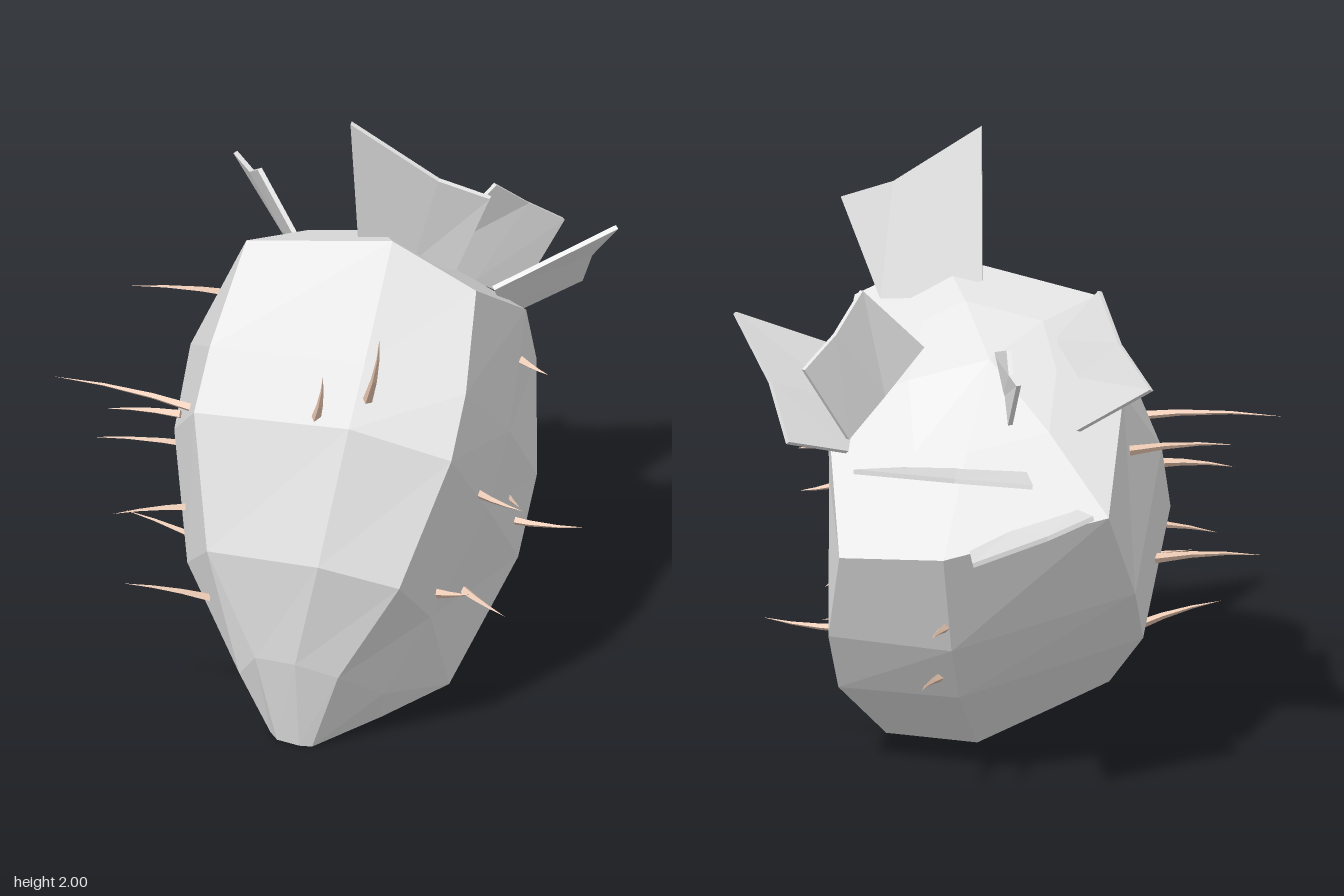
import * as THREE from 'three';

const V = (p) => new THREE.Vector3(...p);

// Faceted root: eight lengthwise columns, listed from crown rim to flat tip;
// shorter columns end early and repeat their last point
const columns = [
  [[-.26, 1.48, .24], [-.27, 1.23, .51], [-.26, 1.07, .66], [-.16, .66, .79], [0, .31, .78], [.05, 0, .72]],
  [[.24, 1.58, .24], [.29, 1.32, .58], [.30, 1.16, .73], [.25, .72, .86], [.15, .33, .81], [.13, 0, .73]],
  [[.51, 1.44, .20], [.59, 1.22, .47], [.60, 1.05, .61], [.49, .65, .77], [.28, .29, .77], [.17, 0, .72]],
  [[.51, 1.18, -.2], [.56, .88, .05], [.55, .67, .2], [.46, .39, .45], [.34, .14, .55], [.29, 0, .45]],
  [[.40, .82, -.54], [.47, .5, -.38], [.47, .28, -.23], [.40, 0, .16]],
  [[.05, .86, -.61], [.06, .5, -.44], [.07, .29, -.28], [.1, 0, .13]],
  [[-.44, .97, -.41], [-.48, .65, -.2], [-.46, .43, .01], [-.31, .21, .2], [-.17, .08, .42], [-.06, 0, .5]],
  [[-.41, 1.26, -.05], [-.49, 1.02, .15], [-.49, .78, .28], [-.33, .47, .55], [-.07, .22, .74], [.01, 0, .68]],
];
const crownTop = [0, 1.38, -.15];

function rootGeometry() {
  const n = columns.length, rings = 7, pos = [], idx = [];
  columns.forEach((c) => {
    // Inner ring that domes the crown
    const inner = V(c[0]).lerp(V(crownTop), .5);
    pos.push(inner.x, inner.y + .02, inner.z);
    for (let r = 0; r < rings - 1; r++) pos.push(...c[Math.min(r, c.length - 1)]);
  });
  pos.push(...crownTop, .17, 0, .45);
  const crown = n * rings, tip = crown + 1;
  for (let i = 0; i < n; i++) {
    const a = i * rings, b = ((i + 1) % n) * rings;
    for (let r = 0; r < rings - 1; r++) {
      idx.push(a + r + 1, b + r + 1, b + r, a + r + 1, b + r, a + r);
    }
    idx.push(crown, a, b, tip, b + rings - 1, a + rings - 1);
  }
  const g = new THREE.BufferGeometry();
  g.setAttribute('position', new THREE.Float32BufferAttribute(pos, 3));
  g.setIndex(idx);
  const flat = g.toNonIndexed();
  flat.computeVertexNormals();
  return flat;
}

// Folded leaf plate: three base points and three outer points
const leaves = [
  { base: [[.09, 1.53, .16], [.27, 1.47, .13], [.41, 1.46, .12]], outer: [[.12, 2, .29], [.39, 1.82, .22], [.55, 1.77, .18]] },
  { base: [[-.18, 1.4, .02], [-.29, 1.33, -.13], [-.31, 1.2, -.26]], outer: [[-.33, 1.59, -.03], [-.43, 1.48, -.2], [-.58, 1.41, -.42]] },
  { base: [[-.33, .98, -.39], [-.15, .93, -.48], [-.03, .88, -.58]], outer: [[-.43, 1.03, -.59], [-.3, .98, -.67], [-.1, .94, -.86]] },
  { base: [[-.16, 1.08, -.35], [.05, 1.09, -.4], [.23, 1.07, -.37]], outer: [[-.24, 1.13, -.62], [0, 1.15, -.67], [.3, 1.2, -.79]] },
  { base: [[.47, 1.33, -.03], [.43, 1.2, -.18], [.42, 1.1, -.33]], outer: [[.8, 1.51, -.25], [.66, 1.33, -.37], [.58, 1.17, -.48]] },
  { base: [[.23, 1.38, -.08], [.33, 1.25, -.2], [.42, 1.14, -.32]], outer: [[.40, 1.6, -.21], [.46, 1.49, -.33], [.54, 1.4, -.43]] },
  { base: [[0, 1.38, -.08], [-.05, 1.26, -.17], [-.08, 1.16, -.25]], outer: [[-.09, 1.46, -.28], [-.11, 1.4, -.34], [-.15, 1.39, -.41]] },
];

function leafGeometry({ base, outer }) {
  const g = new THREE.BoxGeometry(1, 1, 1, 2, 1, 1);
  const p = g.attributes.position;
  const across = V(outer[2]).sub(V(outer[0]));
  const along = V(outer[1]).sub(V(base[1]));
  const normal = across.cross(along).normalize();
  for (let i = 0; i < p.count; i++) {
    const col = Math.round((p.getX(i) + .5) * 2);
    const v = V((p.getY(i) > 0 ? outer : base)[col]).addScaledVector(normal, p.getZ(i) * .015);
    p.setXYZ(i, v.x, v.y, v.z);
  }
  g.computeVertexNormals();
  return g;
}

// Rootlets: base point and tip point
const rootlets = [
  [[-.44, 1.09, -.1], [-.76, 1.1, 0]],
  [[-.3, .99, .5], [-.8, 1.02, .52]],
  [[-.43, .89, .37], [-.67, .88, .41]],
  [[-.47, .655, .13], [-.8, .66, .22]],
  [[-.33, .64, .49], [-.58, .6, .57]],
  [[-.2, .43, .67], [-.46, .47, .76]],
  [[-.38, .38, .25], [-.65, .47, .3]],
  [[.17, 1.15, .69], [.22, 1.34, .75]],
  [[.33, 1.23, .65], [.41, 1.51, .74]],
  [[.55, .78, .3], [.71, .74, .29]],
  [[.53, 1.05, -.11], [.63, 1.02, -.1]],
  [[.49, .49, .47], [.6, .5, .45]],
  [[.49, .6, -.06], [.55, .55, -.06]],
  [[.46, .38, .21], [.63, .33, .25]],
  [[.45, .45, -.15], [.73, .47, -.16]],
  [[.07, .59, -.47], [.07, .62, -.68]],
  [[.12, .37, -.32], [.12, .42, -.6]],
];

function rootletGeometry(from, to) {
  const a = V(from), dir = V(to).sub(a), len = dir.length();
  const g = new THREE.ConeGeometry(.016, len, 4, 3);
  const p = g.attributes.position;
  // Gentle bend along the length
  for (let i = 0; i < p.count; i++) {
    const t = p.getY(i) / len + .5;
    p.setX(i, p.getX(i) + Math.sin(t * Math.PI) * len * .03);
  }
  g.translate(0, len / 2, 0);
  g.applyQuaternion(new THREE.Quaternion().setFromUnitVectors(new THREE.Vector3(0, 1, 0), dir.normalize()));
  g.translate(a.x, a.y, a.z);
  g.computeVertexNormals();
  return g;
}

export function createModel() {
  const skin = new THREE.MeshStandardMaterial({ color: 0xe4e4e4, flatShading: true });
  skin.name = 'pale grey';
  const hair = new THREE.MeshStandardMaterial({ color: 0xe6c4ae, flatShading: true });
  hair.name = 'tan';

  const model = new THREE.Group();
  model.name = 'rootVegetable';
  const add = (geometry, material, name, parent = model) => {
    const mesh = new THREE.Mesh(geometry, material);
    mesh.name = name;
    parent.add(mesh);
  };

  add(rootGeometry(), skin, 'root');

  const crown = new THREE.Group();
  crown.name = 'leaves';
  leaves.forEach((l, i) => add(leafGeometry(l), skin, `leaf${i + 1}`, crown));

  const hairs = new THREE.Group();
  hairs.name = 'rootlets';
  rootlets.forEach(([a, b], i) => add(rootletGeometry(a, b), hair, `rootlet${i + 1}`, hairs));

  model.add(crown, hairs);
  return model;
}
